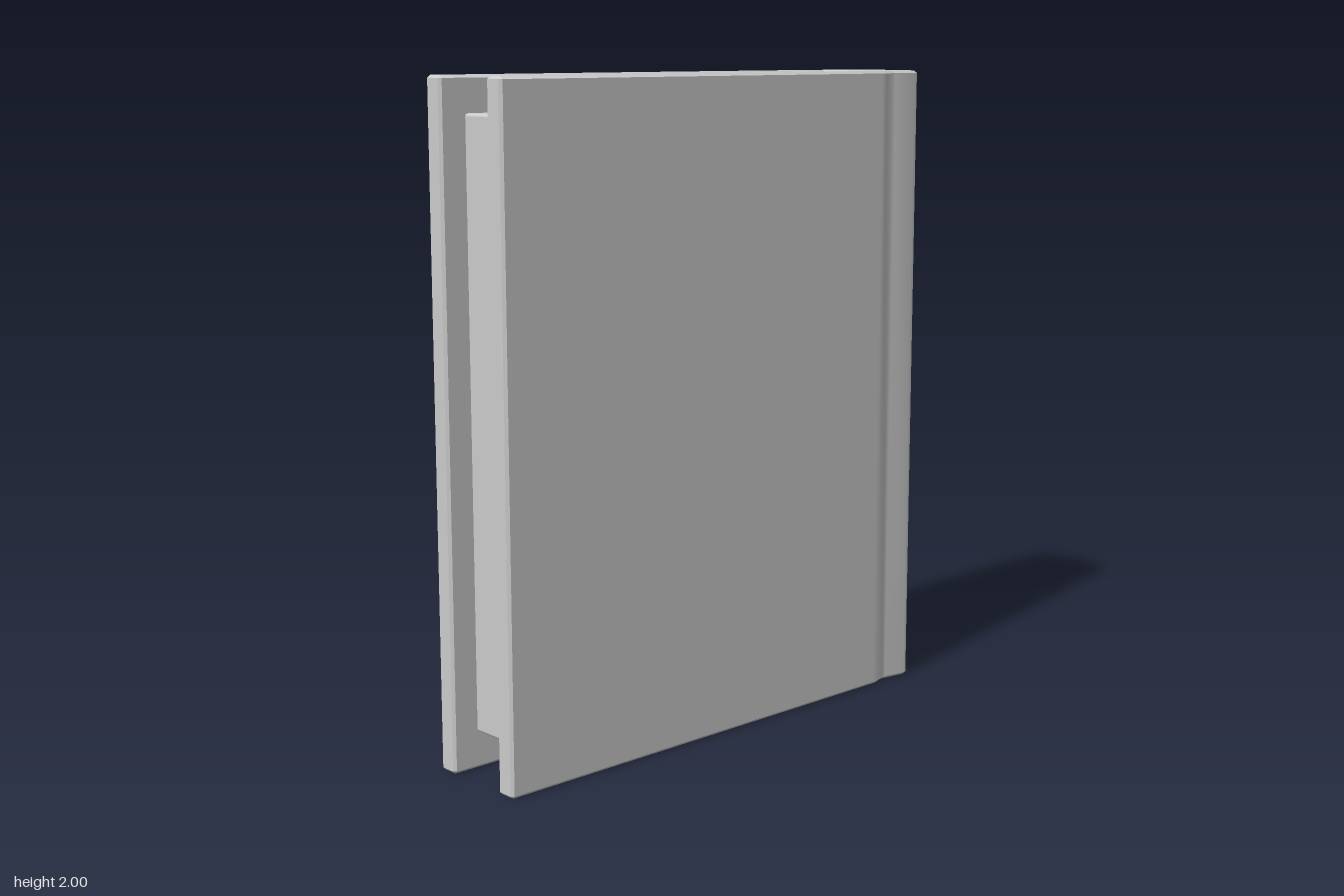
import * as THREE from 'three';
import { toCreasedNormals } from 'three/addons/utils/BufferGeometryUtils.js';
import { RoundedBoxGeometry } from 'three/addons/geometries/RoundedBoxGeometry.js';

const HEIGHT = 2;
const BEVEL = 0.008;

export function createModel() {
  const book = new THREE.Group();
  book.name = 'book';
  const material = new THREE.MeshStandardMaterial({ color: 0xcccccc });

  // Half outline of the binding as [x, z]: rounded spine, hinge groove, cover board
  const half = [
    [0.107, -0.84], [0.155, -0.817], [0.165, -0.81], [0.167, -0.797],
    [0.154, -0.72], [0.153, -0.705], [0.167, -0.665], [0.167, -0.645],
    [0.167, 0.852], [0.159, 0.86], [0.111, 0.86], [0.103, 0.852], [0.103, -0.663],
  ];
  const outline = [
    [0, -0.86],
    ...half,
    ...half.map(([x, z]) => [-x, z]).reverse(),
  ].map(([x, z]) => new THREE.Vector2(x, -z));

  // Cover: both boards and the spine in one piece, with chamfered ends
  const coverGeometry = new THREE.ExtrudeGeometry(new THREE.Shape(outline), {
    depth: HEIGHT - 2 * BEVEL,
    bevelEnabled: true,
    bevelThickness: BEVEL,
    bevelSize: BEVEL,
    bevelOffset: -BEVEL,
    bevelSegments: 1,
  });
  coverGeometry.rotateX(-Math.PI / 2);
  coverGeometry.translate(0, BEVEL, 0);
  const cover = new THREE.Mesh(toCreasedNormals(coverGeometry, 0.6), material);
  cover.name = 'cover';
  book.add(cover);

  // Page block, set back from the cover edges and tucked into boards and spine
  const bottom = 0.11, top = 1.895, back = -0.68, front = 0.775;
  const pages = new THREE.Mesh(
    new RoundedBoxGeometry(0.23, top - bottom, front - back, 3, 0.01),
    material,
  );
  pages.position.set(0, (top + bottom) / 2, (front + back) / 2);
  pages.name = 'pages';
  book.add(pages);

  return book;
}
